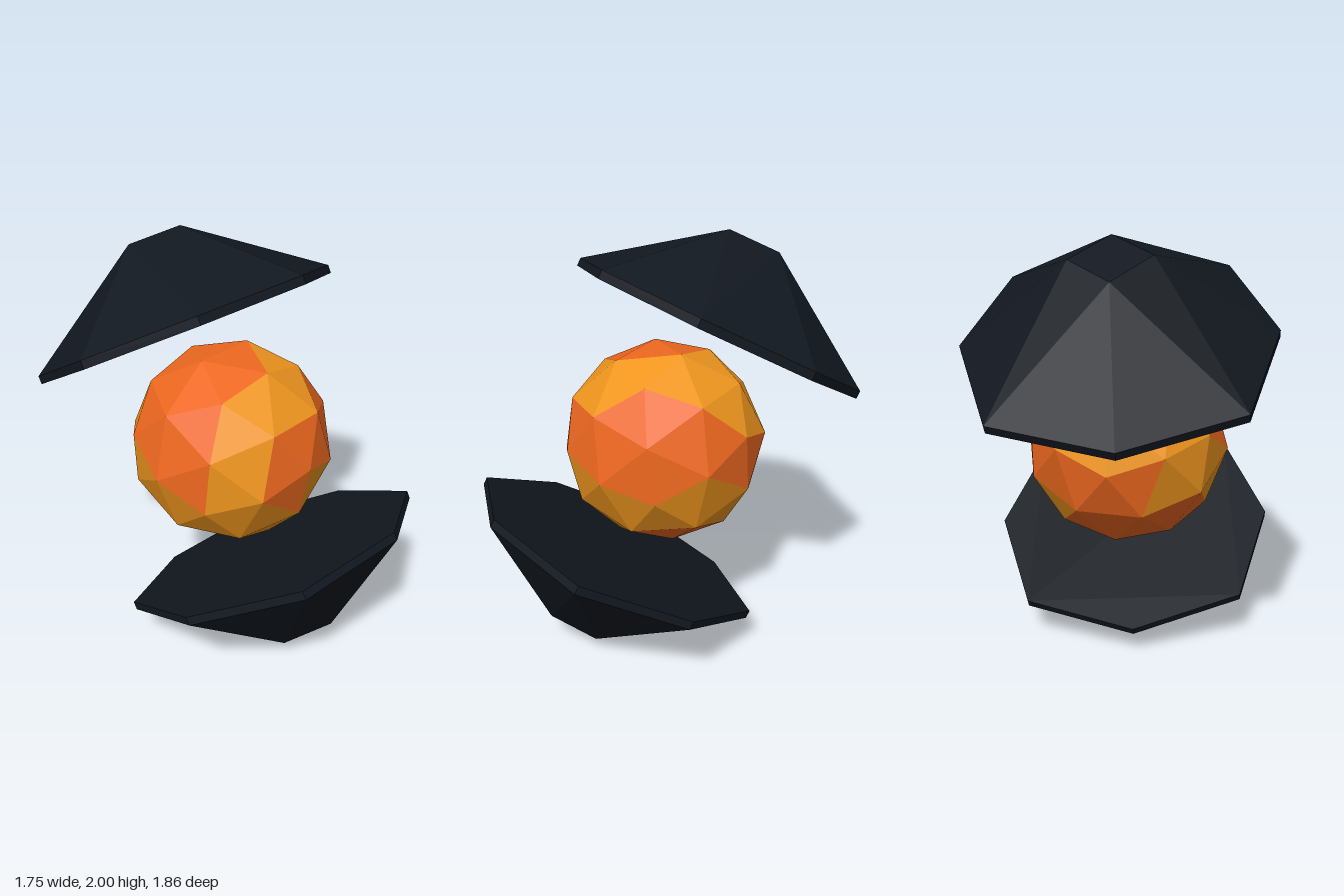
import * as THREE from 'three';
import { ConvexGeometry } from 'three/addons/geometries/ConvexGeometry.js';

const v = (x, y, z) => new THREE.Vector3(x, y, z);
const CENTRE = v(0, 1, 0);

// Directions marking the amber and the red patches of the ball
const AMBER = [
  [-.09, .66, .75], [-.18, .16, .97], [.46, .66, .6], [-.8, -.1, .59], [-.18, -.4, .9], [.08, -.38, .92],
  [.81, -.27, .52], [.49, .87, -.04], [.4, .7, -.58], [.94, -.3, .1], [.9, -.22, -.37], [.57, -.6, -.69],
  [.88, -.03, -.48], [0, -.86, -.52], [-.22, .45, -.86], [-.96, .04, -.26], [.9, -.43, -.04],
].map((p) => v(...p));
const RED = [
  [-.64, .49, .59], [-.69, .05, .72], [.35, .22, .91], [.85, .27, .45], [.3, -.27, .92], [-.69, -.71, .1],
  [.84, .38, .39], [.87, .49, 0], [.99, .08, 0], [.86, .27, -.42], [.67, -.71, -.2], [.38, -.16, -.91],
  [.22, -.1, -.98], [-.2, -.66, -.73], [-.63, -.55, -.56], [-.16, .87, .46], [-.5, .8, .1],
].map((p) => v(...p));

function flat(color) {
  return new THREE.MeshStandardMaterial({ color, flatShading: true });
}

// Faceted ball, its triangles sorted into two colours
function makeBall() {
  const ball = new THREE.Group();
  ball.name = 'ball';
  const front = v(0, -.13, .99).normalize();
  const side = v(-.32, .94, .12).normalize();
  const up = v().crossVectors(front, side).normalize();
  side.crossVectors(up, front);
  const source = new THREE.IcosahedronGeometry(0.497, 1);
  source.applyMatrix4(new THREE.Matrix4().makeBasis(side, up, front));
  const pos = source.attributes.position;
  const nearest = (list, p) => Math.min(...list.map((s) => s.distanceTo(p)));
  const amber = [], red = [];
  for (let i = 0; i < pos.count; i += 3) {
    const corners = [0, 1, 2].map((k) => v().fromBufferAttribute(pos, i + k));
    const mid = v().add(corners[0]).add(corners[1]).add(corners[2]).normalize();
    const target = nearest(AMBER, mid) < nearest(RED, mid) ? amber : red;
    corners.forEach((c) => target.push(c.x, c.y, c.z));
  }
  for (const [name, list, color] of [['amberFacets', amber, 0xf0961e], ['redFacets', red, 0xec671f]]) {
    const geo = new THREE.BufferGeometry();
    geo.setAttribute('position', new THREE.Float32BufferAttribute(list, 3));
    geo.computeVertexNormals();
    const mesh = new THREE.Mesh(geo, flat(color));
    mesh.name = name;
    ball.add(mesh);
  }
  ball.position.copy(CENTRE);
  return ball;
}

// Convex shell: eight-sided rim band, sloped facets rising to a small square crown
function makeShellGeometry() {
  const points = [];
  for (let i = 0; i < 8; i++) {
    const a = i * Math.PI / 4, odd = i % 2 === 1;
    const at = (r, y) => points.push(v(r * Math.sin(a), y, r * Math.cos(a)));
    const rim = odd ? .71 : .748;
    at(rim, -.04);
    at(rim, 0);
    if (odd) at(.178, .41);
  }
  return new ConvexGeometry(points);
}

export function createModel() {
  const model = new THREE.Group();
  model.name = 'model';
  model.add(makeBall());

  // Two matching shells on opposite sides of the ball, along one tilted axis
  const axis = v(-.25, .884, -.397).normalize();
  const e1 = v(.955, .294, .04).normalize();
  const e2 = v().crossVectors(axis, e1).normalize();
  e1.crossVectors(e2, axis);
  const shell = makeShellGeometry();
  const dark = flat(0x121820);
  for (const [name, s] of [['upperShell', 1], ['lowerShell', -1]]) {
    const mesh = new THREE.Mesh(shell, dark);
    mesh.name = name;
    const basis = new THREE.Matrix4().makeBasis(e2, axis.clone().multiplyScalar(s), e1.clone().multiplyScalar(s));
    mesh.quaternion.setFromRotationMatrix(basis);
    mesh.position.set(-.158, .554, -.243).multiplyScalar(s).add(CENTRE);
    model.add(mesh);
  }
  return model;
}
